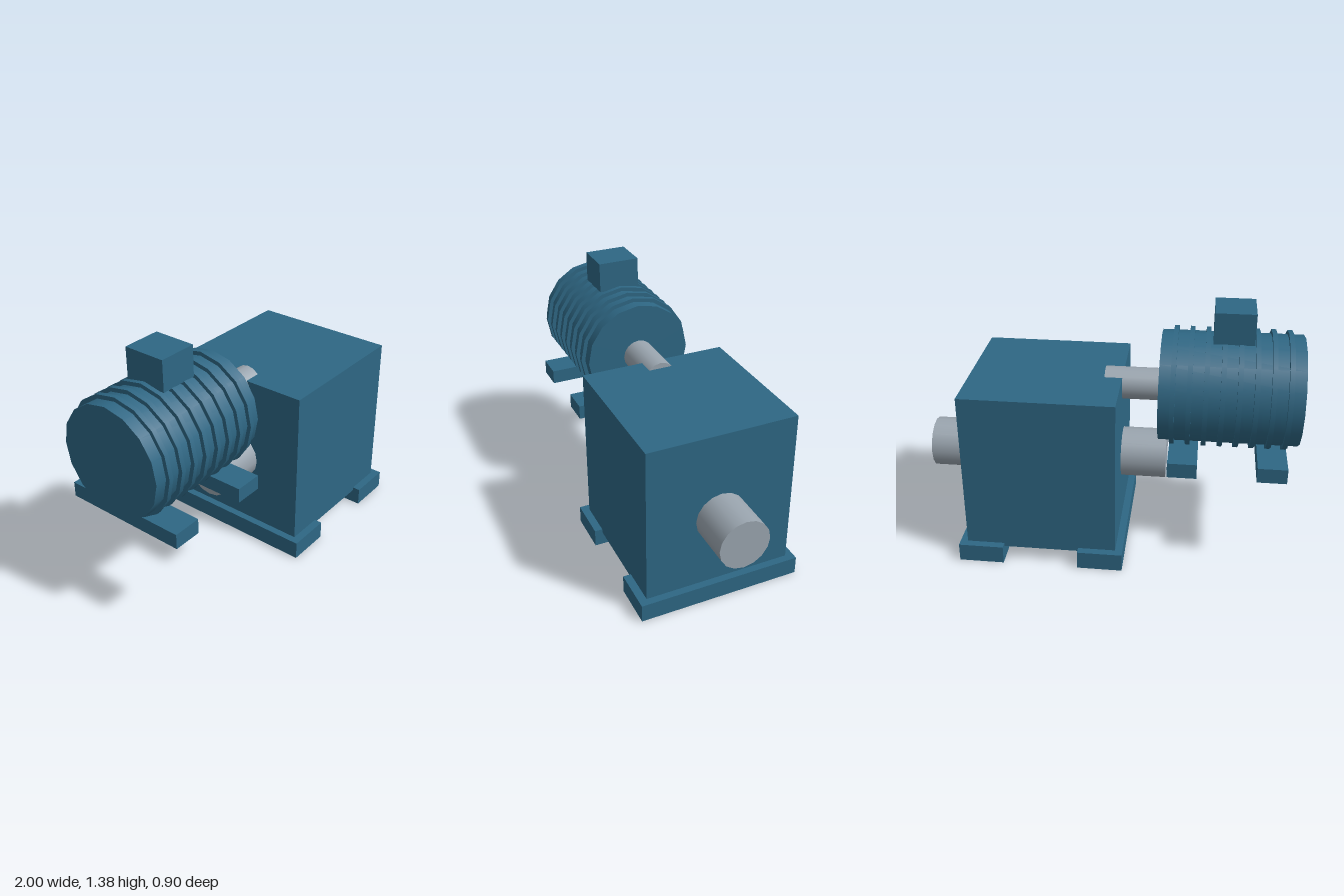
import * as THREE from 'three';

const paint = new THREE.MeshStandardMaterial({ color: 0x2e6784 });
const steel = new THREE.MeshStandardMaterial({ color: 0x9aa5af });

// Box given by its x and y ranges, symmetric in z
function box(name, x0, x1, y0, y1, halfZ) {
  const mesh = new THREE.Mesh(new THREE.BoxGeometry(x1 - x0, y1 - y0, halfZ * 2), paint);
  mesh.position.set((x0 + x1) / 2, (y0 + y1) / 2, 0);
  mesh.name = name;
  return mesh;
}

// 16-sided cylinder lying along x
function bar(name, x0, x1, y, radius, material) {
  const geometry = new THREE.CylinderGeometry(radius, radius, x1 - x0, 16).rotateZ(-Math.PI / 2);
  const mesh = new THREE.Mesh(geometry, material);
  mesh.position.set((x0 + x1) / 2, y, 0);
  mesh.name = name;
  return mesh;
}

export function createModel() {
  const model = new THREE.Group();
  model.name = 'gearMotor';

  // Motor: ribbed body, terminal box and two feet
  const motor = new THREE.Group();
  motor.name = 'motor';
  const axisY = 0.917;
  motor.add(bar('motorBody', -1, -0.262, axisY, 0.296, paint));
  for (let i = 0; i < 8; i++) {
    const x = -0.925 + i * 0.0843;
    motor.add(bar('coolingRib', x - 0.0125, x + 0.0125, axisY, 0.318, paint));
  }
  motor.add(box('terminalBox', -0.737, -0.528, 1.21, 1.377, 0.115));
  motor.add(box('motorFootRear', -0.942, -0.787, 0.548, 0.63, 0.345));
  motor.add(box('motorFootFront', -0.477, -0.322, 0.548, 0.63, 0.345));
  motor.add(bar('motorShaft', -0.27, 0.035, axisY, 0.087, steel));
  model.add(motor);

  // Gearbox: housing, through shaft and two base rails
  const gearbox = new THREE.Group();
  gearbox.name = 'gearbox';
  gearbox.add(box('housing', -0.06, 0.755, 0.08, 0.973, 0.405));
  gearbox.add(box('baseRailLeft', 0.551, 0.795, 0, 0.1, 0.448));
  gearbox.add(box('baseRailRight', -0.1, 0.143, 0, 0.1, 0.448));
  gearbox.add(bar('outputShaft', -0.305, 1, 0.493, 0.137, steel));
  model.add(gearbox);

  return model;
}
